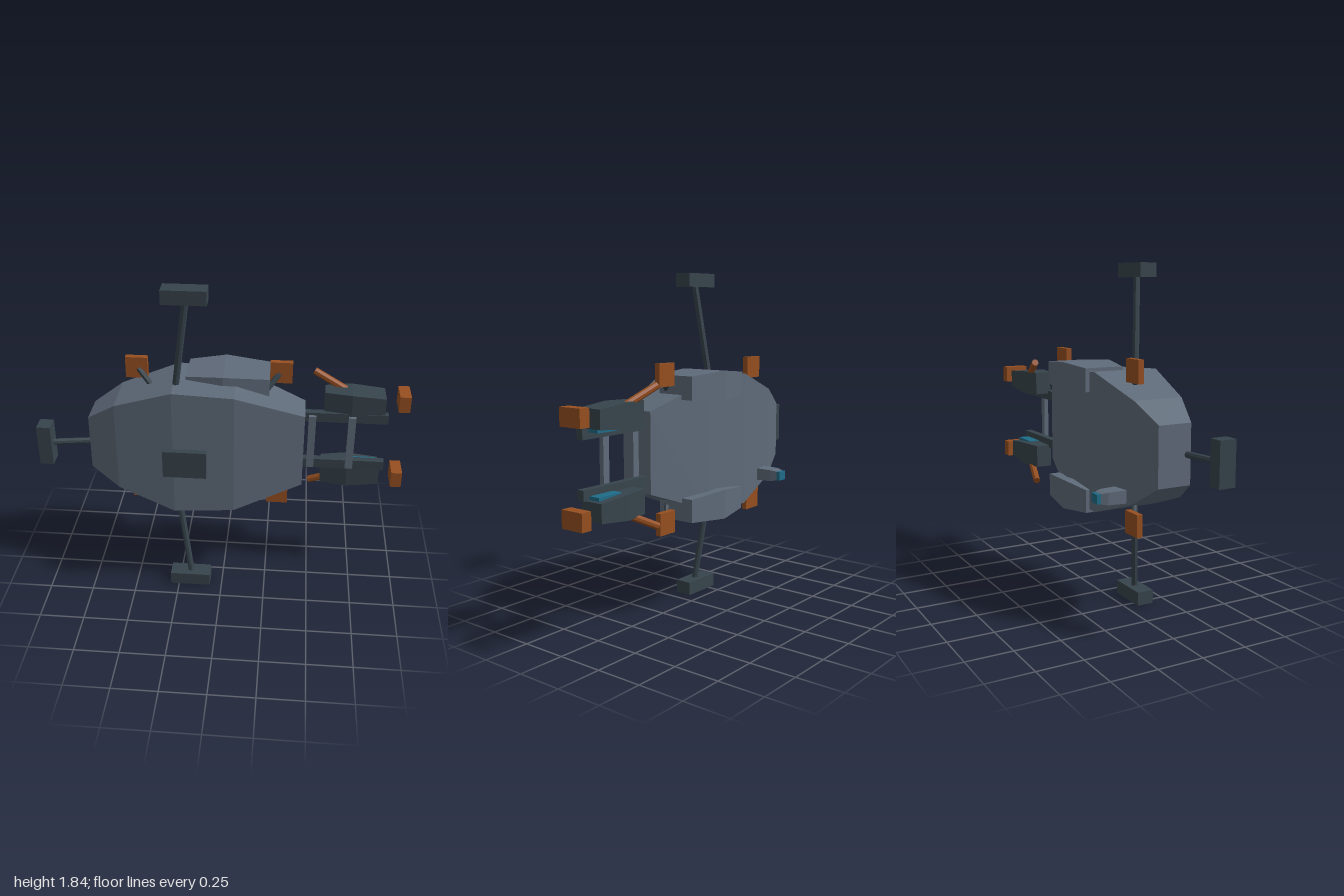
import * as THREE from 'three';

const MID = 0.92; // height of the plane of symmetry

function material(name, color) {
  const m = new THREE.MeshStandardMaterial({ color, flatShading: true });
  m.name = name;
  return m;
}

// Rectangular cross-sections [x, halfHeight, halfDepth] joined along x, with end caps
function loft(stations) {
  const pos = [], idx = [];
  for (const [x, h, d] of stations) pos.push(x, -h, -d, x, -h, d, x, h, d, x, h, -d);
  const last = (stations.length - 1) * 4;
  for (let s = 0; s < last; s += 4) {
    for (let k = 0; k < 4; k++) {
      const a = s + k, b = s + (k + 1) % 4;
      idx.push(a, a + 4, b, b, a + 4, b + 4);
    }
  }
  idx.push(0, 1, 2, 0, 2, 3, last, last + 2, last + 1, last, last + 3, last + 2);
  const g = new THREE.BufferGeometry();
  g.setAttribute('position', new THREE.Float32BufferAttribute(pos, 3));
  g.setIndex(idx);
  const flat = g.toNonIndexed();
  flat.computeVertexNormals();
  return flat;
}

export function createModel() {
  const model = new THREE.Group();
  model.name = 'spacecraft';
  const hullGrey = material('hull grey', 0x5f6b7a);
  const darkGrey = material('dark grey', 0x37444c);
  const rust = material('rust orange', 0x964f20);
  const teal = material('teal glass', 0x1f6c88);

  function add(name, geometry, mat, x, y, z) {
    const mesh = new THREE.Mesh(geometry, mat);
    mesh.name = name;
    mesh.position.set(x, y, z);
    model.add(mesh);
    return mesh;
  }
  const box = (name, mat, w, h, d, x, y, z) =>
    add(name, new THREE.BoxGeometry(w, h, d), mat, x, y, z);

  function rod(name, mat, from, to, radius, sides = 8) {
    const a = new THREE.Vector3(...from), b = new THREE.Vector3(...to);
    const dir = b.clone().sub(a);
    const mid = a.clone().add(b).multiplyScalar(0.5);
    const mesh = add(name, new THREE.CylinderGeometry(radius, radius, dir.length(), sides), mat, mid.x, mid.y, mid.z);
    mesh.quaternion.setFromUnitVectors(new THREE.Vector3(0, 1, 0), dir.normalize());
  }

  // Main hull
  add('hull', loft([
    [-0.725, 0.155, 0.093], [-0.572, 0.257, 0.138], [-0.257, 0.369, 0.185],
    [0.07, 0.35, 0.178], [0.44, 0.214, 0.093],
  ]), hullGrey, 0, MID, 0.007);

  // Nose plate and end pod on their stalks
  rod('noseStalk', darkGrey, [-0.183, MID, 0.15], [-0.183, MID, 0.265], 0.018);
  box('nosePlate', darkGrey, 0.23, 0.155, 0.034, -0.183, MID, 0.274);
  rod('endStrut', darkGrey, [-0.69, MID, 0.075], [-0.93, MID, 0.112], 0.017);
  box('endPod', darkGrey, 0.075, 0.23, 0.092, -0.9625, MID, 0.115);

  // Parts mirrored above and below the plane of symmetry
  for (const s of [1, -1]) {
    const side = s > 0 ? 'upper' : 'lower';
    const y = (v) => MID + s * v;

    // Side bulge
    add(side + 'Bulge', loft([[-0.2, 0.062, 0.109], [0, 0.08, 0.142], [0.245, 0.062, 0.109]]),
      hullGrey, 0, y(0.322), -0.089);

    // Long strut with pod
    rod(side + 'LongStrut', darkGrey, [-0.252, y(0.32), 0.07], [-0.18, y(0.85), 0.117], 0.018);
    box(side + 'LongPod', darkGrey, 0.23, 0.075, 0.096, -0.183, y(0.8825), 0.116);

    // Square panels on short stubs
    for (const [px, sx] of [[-0.475, -0.385], [0.305, 0.225]]) {
      rod(side + 'PanelStub', darkGrey, [sx, y(0.3), -0.015], [px + Math.sign(sx) * -0.01, y(0.382), -0.062], 0.016);
      box(side + 'Panel', rust, 0.12, 0.12, 0.032, px, y(0.39), -0.069);
    }

    // Engine boom, engine, window strip, exhaust block and antenna
    box(side + 'Boom', darkGrey, 0.5, 0.054, 0.04, 0.64, y(0.147), -0.04);
    add(side + 'Engine', loft([[0.545, 0.064, 0.046], [0.69, 0.065, 0.074], [0.87, 0.048, 0.066]]),
      darkGrey, 0, y(0.222), -0.092);
    box(side + 'EngineWindow', teal, 0.16, 0.02, 0.07, 0.77, y(0.163), -0.086);
    box(side + 'ExhaustBlock', rust, 0.06, 0.092, 0.134, 0.97, y(0.24), -0.093);
    rod(side + 'Antenna', rust, [0.485, y(0.355), -0.17], [0.66, y(0.27), -0.125], 0.02);
  }

  // Cross bars between the booms
  for (const x of [0.482, 0.697]) box('crossBar', hullGrey, 0.04, 0.32, 0.026, x, MID, -0.012);

  // Tapered sensor head on the back, with a glass cap
  const sensor = add('sensorHead', loft([[0, 0.034, 0.05], [0.1, 0.032, 0.044], [0.135, 0.026, 0.03]]),
    hullGrey, -0.473, 0.69, -0.14);
  sensor.rotation.y = Math.PI / 2;
  box('sensorCap', teal, 0.06, 0.05, 0.022, -0.473, 0.69, -0.285);

  return model;
}
